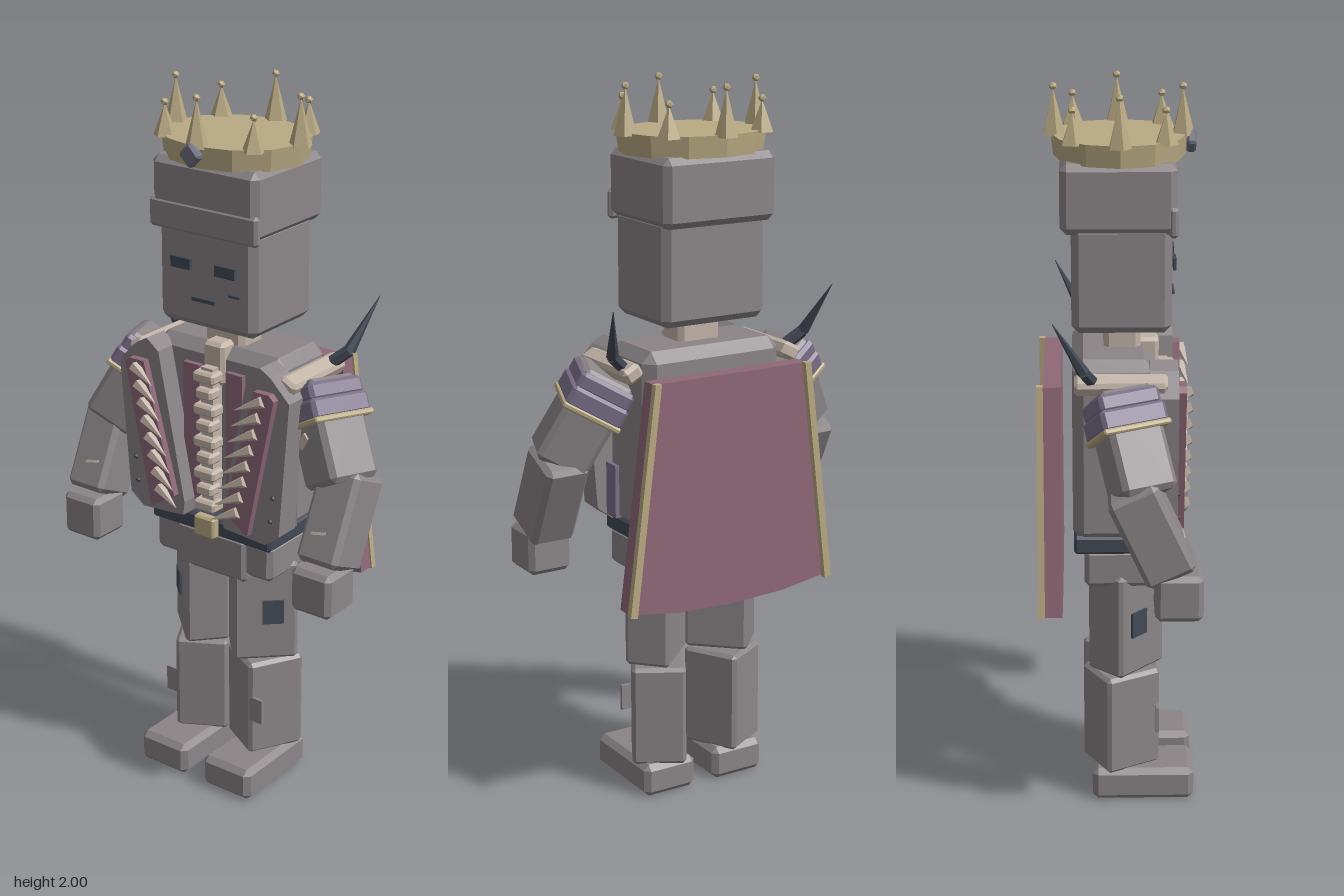
import * as THREE from 'three';
import { ConvexGeometry } from 'three/addons/geometries/ConvexGeometry.js';

const V = (x, y, z) => new THREE.Vector3(x, y, z);
const rad = THREE.MathUtils.degToRad;

export function createModel() {
  const model = new THREE.Group();
  model.name = 'crownedFigure';
  const mat = (name, color) => {
    const m = new THREE.MeshStandardMaterial({ color, flatShading: true });
    m.name = name;
    return m;
  };
  const stone = mat('stoneGrey', 0x8b8587);
  const cloth = mat('wineCloth', 0x8f6877);
  const gold = mat('agedGold', 0xbaaa84);
  const bone = mat('paleBone', 0xc2b3a7);
  const purple = mat('dustyPurple', 0x7b718a);
  const navy = mat('darkSteel', 0x424955);
  const steel = mat('gemSteel', 0x6c6f7e);

  const add = (name, geo, material, pos = [0, 0, 0], rot = [0, 0, 0], parent = model) => {
    const mesh = new THREE.Mesh(geo, material);
    mesh.name = name;
    mesh.position.set(...pos);
    mesh.rotation.set(...rot);
    parent.add(mesh);
    return mesh;
  };
  // Box with chamfered edges
  const block = (w, h, d, c = 0.014) => {
    const pts = [];
    for (const x of [-w / 2, w / 2]) for (const y of [-h / 2, h / 2]) for (const z of [-d / 2, d / 2]) {
      const X = x - Math.sign(x) * c, Y = y - Math.sign(y) * c, Z = z - Math.sign(z) * c;
      pts.push(V(x, Y, Z), V(X, y, Z), V(X, Y, z));
    }
    return new ConvexGeometry(pts);
  };
  const plate = (w, h, d) => new THREE.BoxGeometry(w, h, d);
  // Tapered rod between two points
  const rod = (name, a, b, r0, r1, sides, material) => {
    const dir = b.clone().sub(a);
    const mesh = add(name, new THREE.CylinderGeometry(r1, r0, dir.length(), sides), material);
    mesh.position.copy(a).add(b).multiplyScalar(0.5);
    mesh.quaternion.setFromUnitVectors(V(0, 1, 0), dir.normalize());
  };
  // Flat slab cut from an outline, mirrored by s
  const slab = (pts, depth, s = 1) => {
    const shape = new THREE.Shape(pts.map(([x, y]) => new THREE.Vector2(x * s, y)));
    return new THREE.ExtrudeGeometry(shape, { depth, bevelEnabled: false });
  };

  // Head, cap and face
  add('head', block(0.32, 0.29, 0.265, 0.02), stone, [0, 1.505, 0.007]);
  add('cap', block(0.345, 0.185, 0.305, 0.018), stone, [0, 1.72, -0.002]);
  add('capBrim', block(0.352, 0.08, 0.025, 0.008), stone, [0, 1.66, 0.142]);
  for (const s of [-1, 1]) add('eye', plate(0.065, 0.03, 0.009), navy, [0.073 * s, 1.535, 0.148]);
  add('mouth', plate(0.075, 0.01, 0.009), navy, [0, 1.443, 0.146]);
  add('cheekScar', plate(0.035, 0.006, 0.009), navy, [0.1, 1.473, 0.144]);
  add('neck', block(0.13, 0.16, 0.1), bone, [-0.003, 1.305, 0.01]);

  // Crown
  const band = new THREE.CylinderGeometry(0.207, 0.2, 0.058, 12);
  band.scale(1, 1, 0.87);
  add('crownBand', band, gold, [0, 1.837, 0.003]);
  for (let i = 0; i < 8; i++) {
    const a = i * Math.PI / 4, h = i % 2 ? 0.085 : 0.125;
    const x = 0.202 * Math.cos(a), z = 0.17 * Math.sin(a);
    add('crownSpike', new THREE.ConeGeometry(0.032, h, 5), gold, [x, 1.86 + h / 2, z]);
    add('crownBead', new THREE.IcosahedronGeometry(0.011), gold, [x, 1.863 + h, z]);
  }
  add('crownGem', block(0.05, 0.05, 0.025, 0.006), steel, [0, 1.845, 0.193], [0, 0, Math.PI / 4]);

  // Torso, belt and hips
  add('torso', block(0.43, 0.51, 0.22, 0.03), stone, [0, 1.045, -0.015]);
  add('belt', block(0.41, 0.052, 0.25, 0.008), navy, [0, 0.78, 0.002]);
  add('buckle', block(0.07, 0.062, 0.03, 0.006), gold, [0, 0.787, 0.14]);
  add('hips', block(0.4, 0.11, 0.21), stone, [0, 0.71, 0.01]);
  add('hipFlap', block(0.24, 0.13, 0.05, 0.012), stone, [0, 0.7, 0.1]);
  // Spine of stacked bones down the chest
  add('sternum', block(0.07, 0.12, 0.06, 0.01), bone, [0, 1.255, 0.08]);
  add('spine', plate(0.04, 0.42, 0.05), bone, [0, 1.04, 0.11]);
  for (let i = 0; i < 9; i++) {
    add('vertebra', block(i % 2 ? 0.055 : 0.072, 0.032, 0.05, 0.007), bone, [0, 0.85 + i * 0.047, 0.13]);
  }

  // Cape with gold side trims
  add('cape', slab([[-0.24, 1.24], [-0.32, 0.62], [-0.17, 0.597], [0, 0.59], [0.17, 0.597], [0.32, 0.62], [0.24, 1.24]], 0.048),
    cloth, [0, 0, -0.202]);

  for (const s of [-1, 1]) {
    add('capeTrim', slab([[0.226, 1.243], [0.245, 1.243], [0.325, 0.617], [0.304, 0.612]], 0.018, s), gold, [0, 0, -0.219]);

    // Open coat front with cloth inset and bone spikes
    add('coatFront', slab([[0.15, 1.27], [0.19, 1.3], [0.225, 1.28], [0.285, 1.22], [0.255, 0.83], [0.21, 0.795], [0.07, 0.805], [0.065, 0.845]], 0.075, s),
      stone, [0, 0, 0.08]);
    add('coatInset', slab([[0.25, 1.225], [0.235, 1.24], [0.185, 1.24], [0.085, 0.865], [0.165, 0.815]], 0.022, s), cloth, [0, 0, 0.154]);
    add('innerVest', plate(0.055, 0.4, 0.02), cloth, [0.072 * s, 1.04, 0.1]);
    add('sidePanel', plate(0.02, 0.15, 0.05), purple, [0.217 * s, 0.885, 0.055]);
    for (let i = 0; i < 8; i++) {
      const t = i / 7, x = 0.215 - 0.08 * t, y = 1.22 - 0.34 * t;
      rod('coatSpike', V(x * s, y, 0.178), V((x - 0.075) * s, y - 0.035, 0.198), 0.018, 0.001, 5, bone);
    }
    for (const y of [0.94, 0.87]) {
      add('rivet', new THREE.IcosahedronGeometry(0.008), navy, [(0.235 - (0.94 - y) * 0.1) * s, y, 0.155]);
    }
    // Shoulder bone and horn
    add('shoulderBone', block(0.055, 0.045, 0.245, 0.01), bone, [0.25 * s, 1.25, 0.003], [0, 0, -0.5 * s]);
    const horn = [V(0.262 * s, 1.265, -0.075), V(0.302 * s, 1.3, -0.095), V(0.343 * s, 1.44, -0.173)];
    rod('hornBase', horn[0], horn[1], 0.018, 0.017, 6, navy);
    rod('hornTip', horn[1], horn[2], 0.017, 0.001, 6, navy);

    // Arm: upper part hangs from the shoulder, turned out and forward
    const arm = new THREE.Group();
    arm.name = s > 0 ? 'leftUpperArm' : 'rightUpperArm';
    arm.position.set(0.285 * s, 1.2, 0.005);
    arm.rotation.set(rad(-4), rad(-19) * s, rad(30) * s, 'YZX');
    model.add(arm);
    add('upperArm', block(0.15, 0.28, 0.15), stone, [0, -0.1, 0], [0, 0, 0], arm);
    add('pauldronUpper', block(0.16, 0.05, 0.168, 0.01), purple, [0, 0.006, 0], [0, 0, 0], arm);
    add('pauldronLower', block(0.168, 0.06, 0.18, 0.01), purple, [0, -0.04, 0], [0, 0, 0], arm);
    add('pauldronTrim', block(0.174, 0.016, 0.186, 0.004), gold, [0, -0.07, 0], [0, 0, 0], arm);
    add('armBonePatch', plate(0.045, 0.022, 0.008), bone, [-0.02 * s, -0.11, 0.076], [0, 0, 0.5], arm);
    add('forearm', block(0.13, 0.26, 0.14), stone, [0.4 * s, 0.9, 0.08], [rad(-25), 0, 0]);
    add('forearmScratch', plate(0.045, 0.008, 0.006), bone, [0.39 * s, 0.885, 0.163], [rad(-25), 0, 0.2]);
    add('hand', block(0.127, 0.127, 0.127), stone, [0.398 * s, 0.728, 0.152]);

    // Leg: thigh turned outward, shin turned inward
    const thigh = new THREE.Group();
    thigh.name = s > 0 ? 'leftThigh' : 'rightThigh';
    thigh.position.set(0.107 * s, 0.535, 0.02);
    thigh.rotation.set(0, rad(43) * s, 0);
    model.add(thigh);
    add('thighBlock', block(0.182, 0.3, 0.128, 0.01), stone, [0, 0, 0], [0, 0, 0], thigh);
    add('thighPatch', plate(0.06, 0.072, 0.009), navy, [0.02 * s, 0, 0.066], [0, 0, 0], thigh);
    add('shin', block(0.152, 0.29, 0.168, 0.01), stone, [0.107 * s, 0.235, 0.008], [0, rad(-29) * s, 0]);
    add('shinPatch', plate(0.042, 0.075, 0.009), stone, [0.15 * s, 0.238, 0.108]);
    add('foot', block(0.165, 0.095, 0.285, 0.016), stone, [0.113 * s, 0.0475, 0.068]);
  }
  return model;
}
